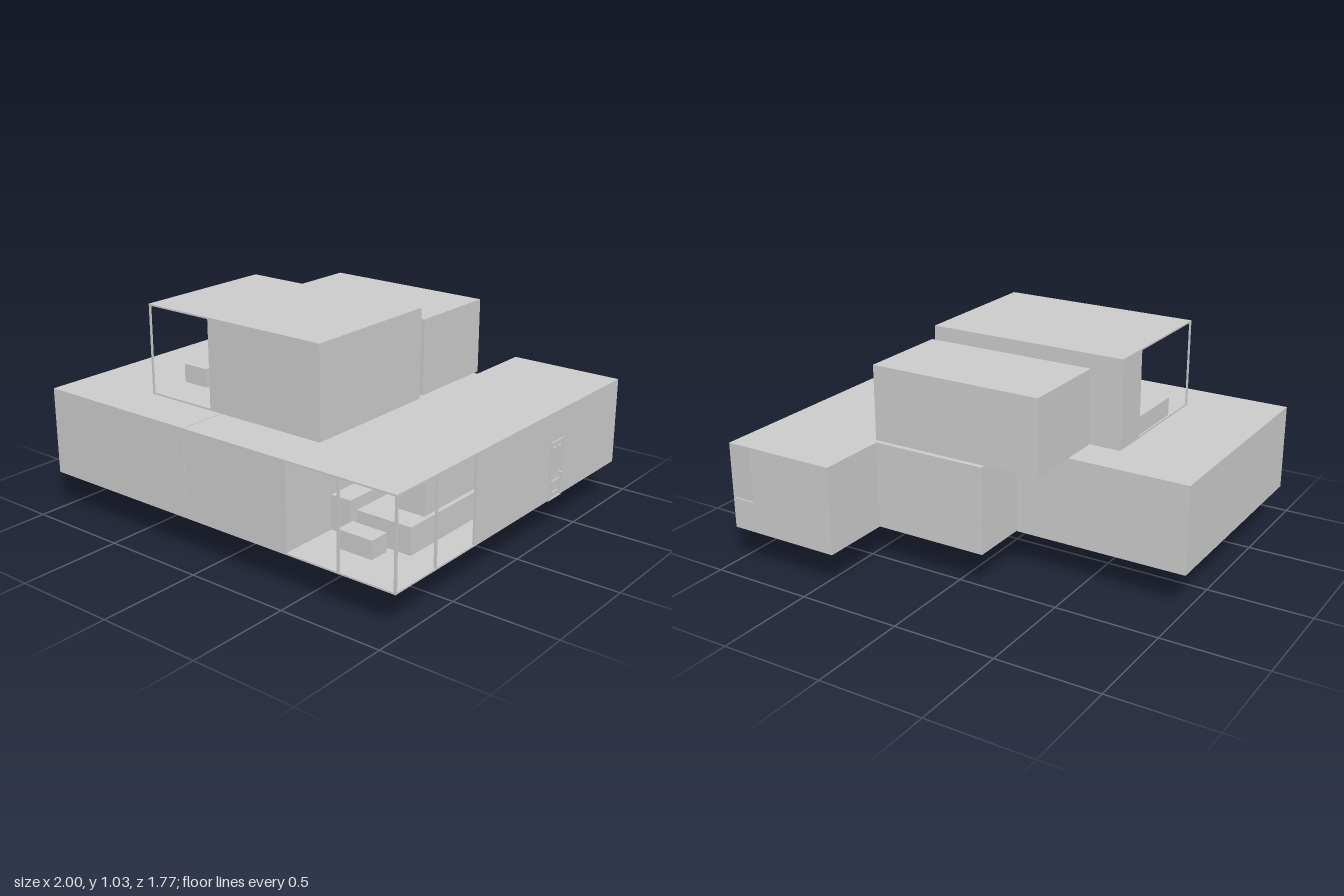
import * as THREE from 'three';

const mat = new THREE.MeshStandardMaterial({ color: 0xcccccc, flatShading: true });

// Box given by its min and max on each axis
function box(parent, name, x0, x1, y0, y1, z0, z1) {
  const m = new THREE.Mesh(new THREE.BoxGeometry(x1 - x0, y1 - y0, z1 - z0), mat);
  m.position.set((x0 + x1) / 2, (y0 + y1) / 2, (z0 + z1) / 2);
  m.name = name;
  parent.add(m);
  return m;
}

function group(parent, name) {
  const g = new THREE.Group();
  g.name = name;
  parent.add(g);
  return g;
}

// Door facing local +z: outline, panel trims and a handle in low relief
function door(parent, name, width, height) {
  const g = group(parent, name);
  const b = 0.007, d = 0.006, w = width / 2;
  const outline = (x0, x1, y0, y1) => {
    box(g, 'trim', x0, x0 + b, y0, y1, 0, d);
    box(g, 'trim', x1 - b, x1, y0, y1, 0, d);
    box(g, 'trim', x0 + b, x1 - b, y0, y0 + b, 0, d);
    box(g, 'trim', x0 + b, x1 - b, y1 - b, y1, 0, d);
  };
  outline(-w, w, 0, height);
  outline(-w * 0.6, w * 0.6, height * 0.1, height * 0.32);
  outline(-w * 0.6, -w * 0.1, height * 0.45, height * 0.9);
  outline(w * 0.1, w * 0.6, height * 0.45, height * 0.9);
  box(g, 'doorHandle', w * 0.65, w * 0.85, height * 0.38, height * 0.41, 0, 0.012);
  return g;
}

export function createModel() {
  const house = new THREE.Group();
  house.name = 'house';
  const T = 0.008;          // wall and slab thickness
  const Y0 = 0.18, Y1 = 0.6; // lower storey

  // Closed lower volumes, with a narrow joint between them
  box(house, 'lowerLeftVolume', -1, -0.153, Y0, Y1, -0.25, 0.88);
  box(house, 'lowerMiddleVolume', -0.148, 0.418, Y0, Y1, -0.54, 0.88);

  // Hollow wing with an open glazed corner
  const wing = group(house, 'wing');
  const W0 = 0.418, W1 = 0.985;
  box(wing, 'wingFloor', W0, W1, Y0, Y0 + T, -0.89, 0.88);
  box(wing, 'wingRoof', W0, W1, Y1 - T, Y1, -0.89, 0.88);
  box(wing, 'wingRightWall', W1 - T, W1, Y0 + T, Y1 - T, -0.89, 0.32);
  box(wing, 'wingLeftWall', W0, W0 + T, Y0 + T, Y1 - T, -0.89, 0.88);
  box(wing, 'wingPartition', W0 + T, W1 - T, Y0 + T, Y1 - T, 0.08, 0.088);
  // back wall around a corner window
  box(wing, 'wingBackWall', W0 + T, 0.865, Y0 + T, Y1 - T, -0.89, -0.882);
  box(wing, 'wingBackSill', 0.865, W1 - T, Y0 + T, 0.33, -0.89, -0.882);
  // window posts
  for (const [x, z] of [[W0 + 0.005, 0.875], [0.697, 0.875], [W1 - 0.005, 0.875], [W1 - 0.005, 0.607], [W1 - 0.005, 0.325]])
    box(wing, 'windowPost', x - 0.005, x + 0.005, Y0 + T, Y1 - T, z - 0.005, z + 0.005);

  // Furniture in the wing
  const F = Y0 + T;
  box(wing, 'lowTable', 0.56, 0.74, F, 0.275, 0.61, 0.71);
  box(wing, 'bed', 0.56, 0.84, F, 0.315, 0.09, 0.58);
  box(wing, 'cabinet', 0.68, 0.82, F, 0.48, 0.09, 0.46);
  box(wing, 'sideboard', W0 + T, 0.53, F, 0.35, 0.25, 0.585);

  // Upper front room with an open glazed corner at the front
  const room = group(house, 'upperRoom');
  const U0 = -0.575, U1 = 0.418, V0 = 0.603, V1 = 1.03, Zb = -0.06, Zf = 0.65;
  box(room, 'roomFloor', U0, U1, V0, V0 + T, Zb, Zf);
  box(room, 'roomRoof', U0, U1, V1 - T, V1, Zb, Zf);
  box(room, 'roomFrontWall', -0.21, U1, V0 + T, V1 - T, Zf - T, Zf);
  box(room, 'roomBackWall', U0, U1, V0 + T, V1 - T, Zb, Zb + T);
  box(room, 'roomRightWall', U1 - T, U1, V0 + T, V1 - T, Zb + T, Zf - T);
  box(room, 'roomLeftWall', U0, U0 + T, V0 + T, V1 - T, Zb + T, 0.125);
  box(room, 'cornerPost', U0, U0 + T, V0 + T, V1 - T, Zf - T, Zf);
  box(room, 'couch', U0 + T, -0.43, V0 + T, 0.7, Zb + T, 0.45);
  box(room, 'stool', -0.37, -0.27, V0 + T, 0.66, 0.2, 0.35);

  // Closed upper back volume, overhanging the lower storey
  box(house, 'upperBackVolume', -0.43, 0.418, 0.612, 0.97, -0.54, -0.085);

  // Doors: wing side, upper room back, and the panel below the floor
  const sideDoor = door(house, 'sideDoor', 0.11, 0.28);
  sideDoor.position.set(W1, Y0, -0.325);
  sideDoor.rotation.y = Math.PI / 2;

  const upperDoor = door(house, 'upperDoor', 0.11, 0.28);
  upperDoor.position.set(0.245, 0.612, Zb);
  upperDoor.rotation.y = Math.PI;

  const panel = group(house, 'basementDoor');
  box(panel, 'basementPanel', 0.305, 0.53, 0, Y0, 0.17, 0.174);
  const lowerDoor = door(panel, 'basementDoorTrim', 0.1, 0.13);
  lowerDoor.position.set(0.418, 0.045, 0.17);
  lowerDoor.rotation.y = Math.PI;

  return house;
}
